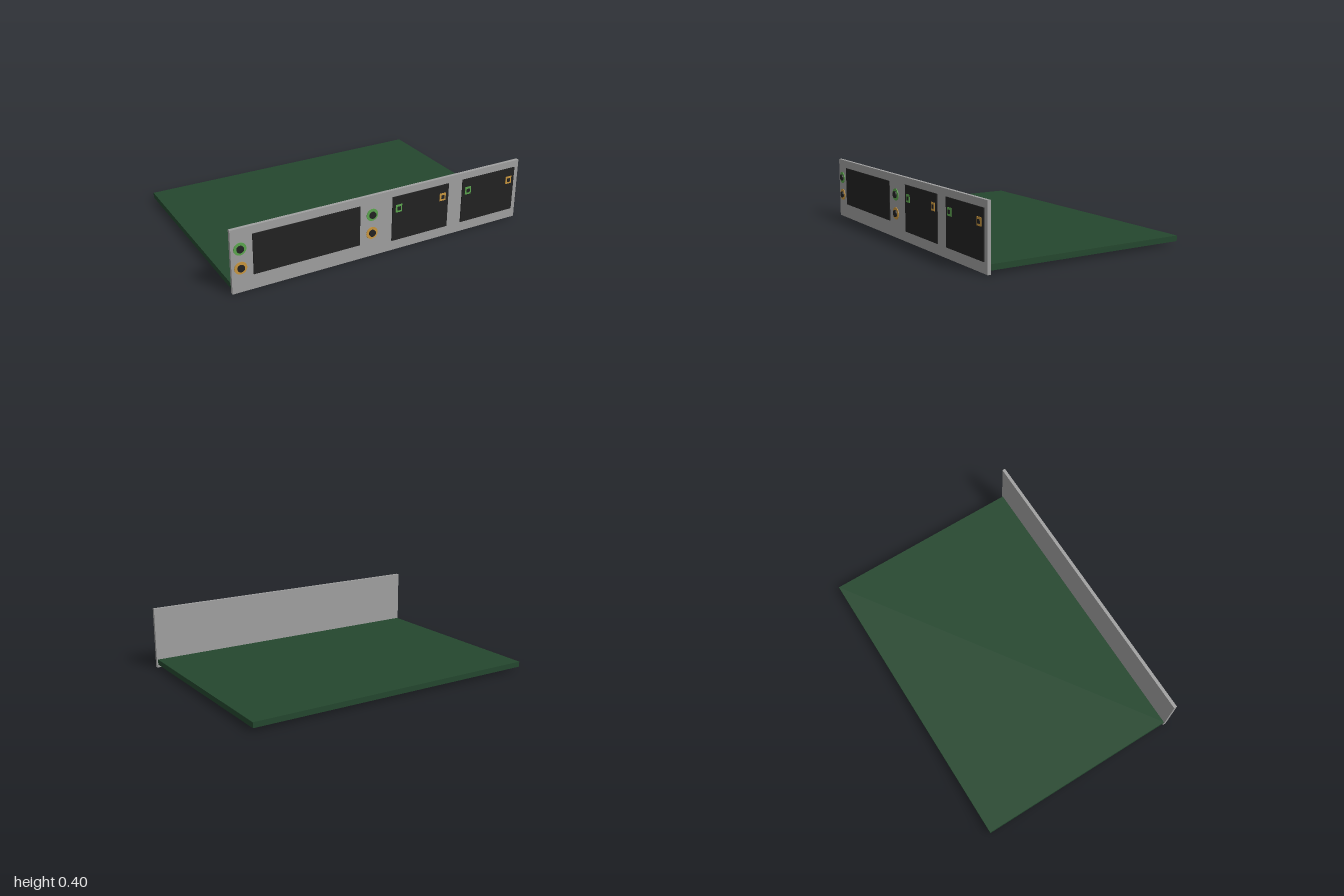
import * as THREE from 'three';

const material = (name, color) => {
  const m = new THREE.MeshStandardMaterial({ color });
  m.name = name;
  return m;
};

export function createModel() {
  const model = new THREE.Group();
  model.name = 'interfaceBoard';

  const boardGreen = material('boardGreen', 0x24472e);
  const panelGrey = material('panelGrey', 0xa0a0a0);
  const black = material('black', 0x222222);
  const signalGreen = material('signalGreen', 0x5ca64e);
  const signalOrange = material('signalOrange', 0xc9963f);

  const add = (name, geometry, mat, x, y, z) => {
    const mesh = new THREE.Mesh(geometry, mat);
    mesh.name = name;
    mesh.position.set(x, y, z);
    model.add(mesh);
  };
  // Box given by its lower and upper limits on each axis
  const box = (name, mat, [x0, x1], [y0, y1], [z0, z1]) =>
    add(name, new THREE.BoxGeometry(x1 - x0, y1 - y0, z1 - z0), mat,
      (x0 + x1) / 2, (y0 + y1) / 2, (z0 + z1) / 2);
  // Thin disc facing the front
  const disc = (name, mat, radius, x, y, z0, z1) =>
    add(name, new THREE.CylinderGeometry(radius, radius, z1 - z0, 24).rotateX(Math.PI / 2),
      mat, x, y, (z0 + z1) / 2);

  // Circuit board and upright face plate
  box('circuitBoard', boardGreen, [-0.995, 0.992], [0.02, 0.055], [-0.69, 0.656]);
  box('facePlate', panelGrey, [-1, 1], [0, 0.404], [0.656, 0.677]);

  // Wide connector opening
  box('wideConnector', black, [-0.867, -0.177], [0.097, 0.353], [0.677, 0.683]);

  // Round sockets: green above, orange below
  for (const x of [-0.944, -0.092]) {
    for (const [mat, y] of [[signalGreen, 0.278], [signalOrange, 0.157]]) {
      disc('socketRing', mat, 0.039, x, y, 0.677, 0.681);
      disc('socketHole', black, 0.022, x, y, 0.681, 0.689);
    }
  }

  // Square ports, each with two indicator lights
  for (const x of [0.048, 0.561]) {
    box('squarePort', black, [x, x + 0.407], [0.066, 0.36], [0.677, 0.683]);
    for (const [mat, dx] of [[signalGreen, 0.043], [signalOrange, 0.363]]) {
      const cx = x + dx, cy = 0.28;
      box('indicatorFrame', mat, [cx - 0.022, cx + 0.022], [cy - 0.025, cy + 0.025], [0.683, 0.686]);
      box('indicatorCentre', black, [cx - 0.011, cx + 0.011], [cy - 0.012, cy + 0.012], [0.686, 0.689]);
    }
  }

  return model;
}
